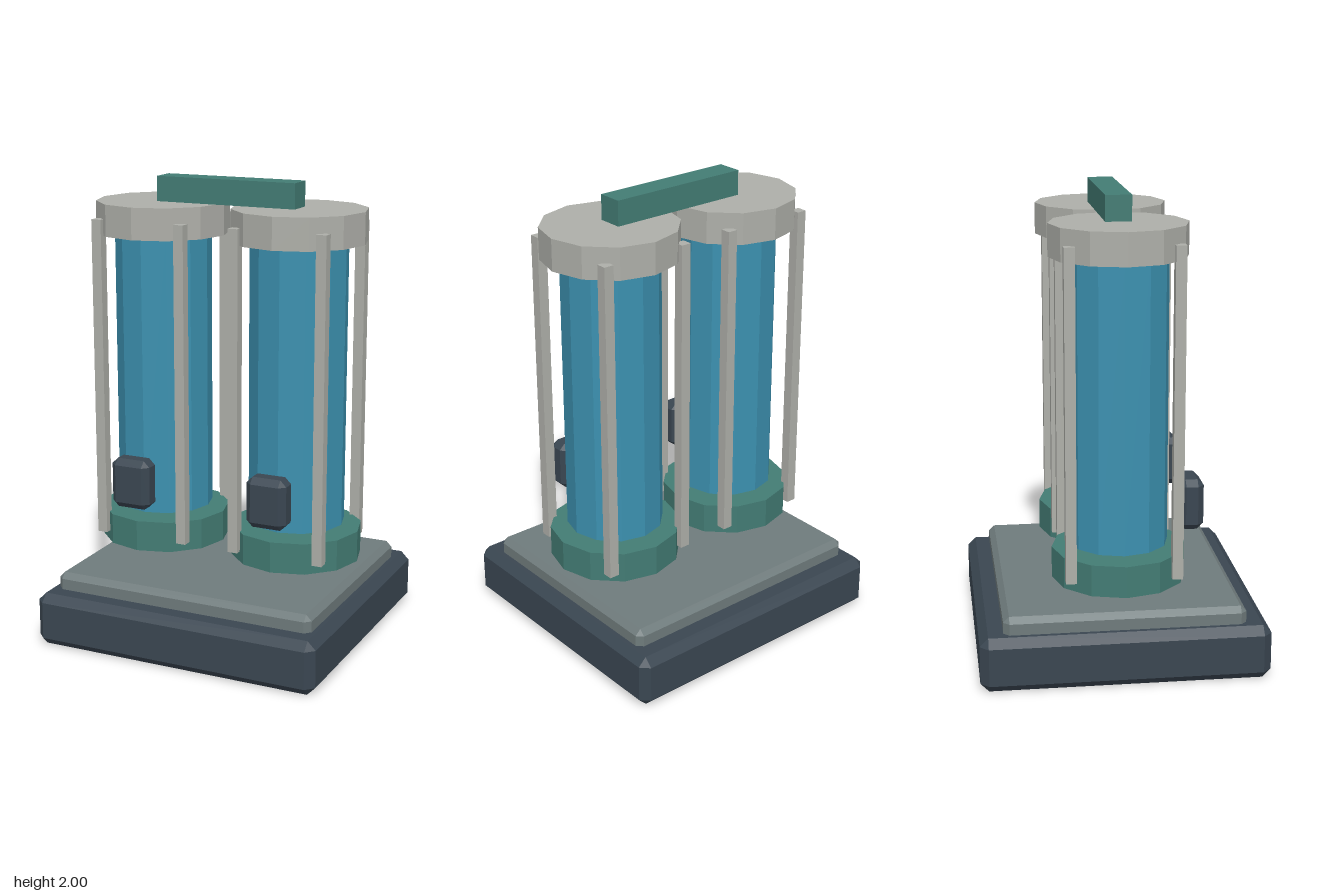
import * as THREE from 'three';
import { ConvexGeometry } from 'three/addons/geometries/ConvexGeometry.js';

const makeMaterial = (name, color) => {
  const m = new THREE.MeshStandardMaterial({ color });
  m.name = name;
  return m;
};

// Box with a single flat chamfer on every edge
function chamferBox(w, h, d, c) {
  const points = [];
  const x = w / 2, y = h / 2, z = d / 2;
  for (const sx of [-1, 1]) for (const sy of [-1, 1]) for (const sz of [-1, 1]) {
    points.push(
      new THREE.Vector3(sx * x, sy * (y - c), sz * (z - c)),
      new THREE.Vector3(sx * (x - c), sy * y, sz * (z - c)),
      new THREE.Vector3(sx * (x - c), sy * (y - c), sz * z));
  }
  return new ConvexGeometry(points);
}

// Twelve-sided drum; toNonIndexed gives each facet its own normal
function drum(radius, height) {
  const g = new THREE.CylinderGeometry(radius, radius, height, 12).toNonIndexed();
  g.computeVertexNormals();
  return g;
}

export function createModel() {
  const slate = makeMaterial('dark slate', 0x3a4651);
  const grey = makeMaterial('deck grey', 0x6f7b7c);
  const green = makeMaterial('teal green', 0x437c74);
  const metal = makeMaterial('pale metal', 0xaeafa9);
  const blue = makeMaterial('tank blue', 0x3c91b0);

  const model = new THREE.Group();
  model.name = 'twinTankUnit';

  const add = (parent, name, geometry, material, x, y, z) => {
    const mesh = new THREE.Mesh(geometry, material);
    mesh.name = name;
    mesh.position.set(x, y, z);
    parent.add(mesh);
  };

  // Stepped base
  add(model, 'base', chamferBox(1.3, 0.235, 1.22, 0.036), slate, 0, 0.1175, 0);
  add(model, 'deckPlate', chamferBox(1.19, 0.13, 1.02, 0.025), grey, 0, 0.243, 0);

  // Two identical tanks
  for (const side of [-1, 1]) {
    const tank = new THREE.Group();
    tank.name = side < 0 ? 'rightTank' : 'leftTank';
    tank.position.x = side * 0.32;
    model.add(tank);

    add(tank, 'collar', drum(0.285, 0.135), green, 0, 0.4475, 0);
    add(tank, 'cylinder', drum(0.21, 1.225), blue, 0, 1.1475, 0);
    add(tank, 'cap', drum(0.29, 0.137), metal, 0, 1.8235, 0);
    add(tank, 'valveBox', chamferBox(0.18, 0.22, 0.105, 0.027), slate, 0, 0.7, 0.3025);

    // Four square corner rods
    for (const sx of [-1, 1]) for (const sz of [-1, 1]) {
      add(tank, 'rod', new THREE.BoxGeometry(0.045, 1.4, 0.045), metal, sx * 0.195, 1.125, sz * 0.2225);
    }
  }

  // Bridge handle joining the caps
  add(model, 'handle', new THREE.BoxGeometry(0.64, 0.108, 0.11), green, 0, 1.946, 0);

  return model;
}
